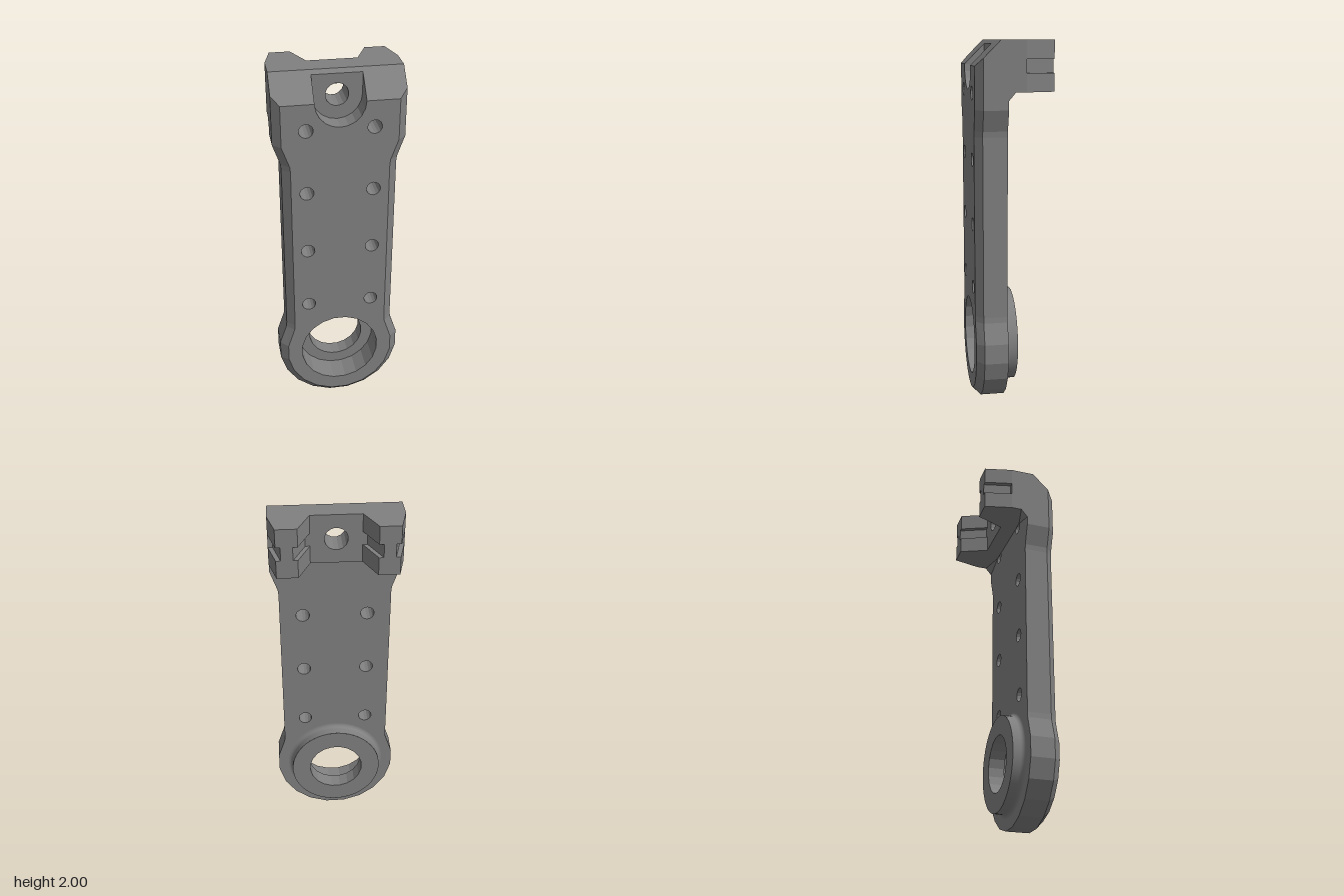
import * as THREE from 'three';

const FRONT = 0.205, BACK = 0.035, SLOPE_Y = 1.87, BOSS_Y = 0.345;

// Ring of points around a hole or boss
const circle = (x, y, r, n) => Array.from({ length: n }, (_, i) => {
  const a = ((i + 0.5) / n) * Math.PI * 2;
  return [x + r * Math.cos(a), y + r * Math.sin(a)];
});
const atZ = (ring, z) => ring.map(([x, y]) => [x, y, z]);

// Faceted wall between two matching rows of 3D points
function strip(a, b, closed = true) {
  const pos = [], n = a.length;
  for (let i = 0; i < (closed ? n : n - 1); i++) {
    const j = (i + 1) % n;
    pos.push(...a[i], ...a[j], ...b[j], ...a[i], ...b[j], ...b[i]);
  }
  const g = new THREE.BufferGeometry();
  g.setAttribute('position', new THREE.Float32BufferAttribute(pos, 3));
  g.computeVertexNormals();
  return g;
}

function makeShape(points, holes = []) {
  const v = (p) => p.map(([x, y]) => new THREE.Vector2(x, y));
  const s = new THREE.Shape(v(points));
  s.holes = holes.map((h) => new THREE.Path(v(h)));
  return s;
}

// Flat face whose z comes from a rule on y; flipped faces look backwards
function face(points, holes, zOf, flip = false) {
  let g = new THREE.ShapeGeometry(makeShape(points, holes)).toNonIndexed();
  const p = g.attributes.position;
  for (let i = 0; i < p.count; i++) p.setZ(i, zOf(p.getY(i)));
  if (flip) {
    for (let i = 0; i < p.count; i += 3) {
      const q = [p.getX(i), p.getY(i), p.getZ(i)];
      p.setXYZ(i, p.getX(i + 1), p.getY(i + 1), p.getZ(i + 1));
      p.setXYZ(i + 1, ...q);
    }
  }
  g.computeVertexNormals();
  return g;
}

export function createModel() {
  const group = new THREE.Group();
  const grey = new THREE.MeshStandardMaterial({ color: 0x808080, side: THREE.DoubleSide });
  grey.name = 'grey metal';
  const add = (name, geometry) => {
    const m = new THREE.Mesh(geometry, grey);
    m.name = name;
    group.add(m);
    return m;
  };
  const mirrored = (half) => [...half.map(([x, y, z]) => [-x, y, z]).reverse(), ...half];

  // Arm outline, right half from bottom to top; inset version for the chamfer
  const arc = (r) => [9, 27, 45, 63, 81, 99].map((d) => {
    const a = (d * Math.PI) / 180;
    return [r * Math.sin(a), BOSS_Y - r * Math.cos(a)];
  });
  const outer = [...arc(0.345), [0.303, 0.51], [0.3, 0.54], [0.3, 1.51], [0.303, 1.54], [0.342, 1.65], [0.342, 1.91]];
  const inner = [...arc(0.302), [0.26, 0.51], [0.257, 0.54], [0.257, 1.51], [0.26, 1.54], [0.3, 1.65], [0.3, SLOPE_Y]];

  // Holes
  const small = [];
  for (const y of [0.68, 1.03, 1.38, 1.73]) {
    for (const x of [-0.175, 0.175]) small.push(circle(x, y, 0.037, 14));
  }
  const bore = circle(0, BOSS_Y, 0.155, 20);
  const counterbore = circle(0, BOSS_Y, 0.22, 20);
  const pin = circle(0, SLOPE_Y, 0.06, 16);

  // Arched pocket in the head
  const arch = [[-0.13, 1.98]];
  for (let i = 0; i <= 10; i++) {
    const a = Math.PI * (1 + i / 10);
    arch.push([0.13 * Math.cos(a), SLOPE_Y + 0.13 * Math.sin(a)]);
  }
  arch.push([0.13, 1.98]);
  const floorZ = 0.095;
  const surfaceZ = (y) => FRONT - Math.max(0, y - SLOPE_Y);

  // Arm sides, chamfer, front and back
  add('armSides', strip(
    mirrored([...atZ(outer, BACK), [0.342, 2, BACK]]),
    mirrored([...atZ(outer, 0.165), [0.342, 2, 0.075]])));
  add('armChamfer', strip(mirrored(atZ(outer, 0.165)), mirrored(atZ(inner, FRONT)), false));
  add('armFront', face([...mirrored(inner), ...arch.slice(1, -1).reverse()],
    [counterbore, ...small], () => FRONT));
  add('armBack', face(mirrored(outer), [counterbore, pin, ...small], () => BACK, true));
  small.forEach((h) => add('mountingHole', strip(atZ(h, FRONT), atZ(h, BACK))));

  // Sloped head front with its pocket
  add('headSlope', face([
    [-0.3, SLOPE_Y], [-0.13, SLOPE_Y], [-0.13, 1.98], [0.13, 1.98], [0.13, SLOPE_Y],
    [0.3, SLOPE_Y], [0.342, 1.91], [0.342, 2], [-0.342, 2], [-0.342, 1.91]], [], surfaceZ));
  add('pocketWall', strip(arch.map(([x, y]) => [x, y, surfaceZ(y)]), atZ(arch, floorZ), false));
  add('pocketFloor', face(arch, [pin], () => floorZ));
  add('pinHole', strip(atZ(pin, floorZ), atZ(pin, BACK)));

  // Head block behind the arm
  const block = makeShape([[-0.342, 1.74], [0.342, 1.74], [0.342, 2], [-0.342, 2]], [pin]);
  add('headBlock', new THREE.ExtrudeGeometry(block, { depth: 0.09, bevelEnabled: false }))
    .position.z = -0.055;

  // Tapered jaws, slotted on both flanks
  for (const s of [-1, 1]) {
    for (const [y0, y1, inset] of [[1.74, 1.835, 0], [1.835, 1.905, 0.024], [1.905, 2, 0]]) {
      const jaw = makeShape([
        [s * (0.132 + inset), 0.055], [s * (0.342 - inset), 0.055],
        [s * (0.305 - inset), 0.205], [s * (0.197 + inset), 0.205]]);
      const g = new THREE.ExtrudeGeometry(jaw, { depth: y1 - y0, bevelEnabled: false });
      add('jaw', g.rotateX(-Math.PI / 2)).position.y = y0;
    }
    // Small corner gusset under the head
    const tip = [s * 0.342, 1.74, 0], low = [s * 0.342, 1.698, BACK], end = [s * 0.2, 1.74, BACK];
    const root = [s * 0.342, 1.74, BACK];
    add('gusset', strip([tip, low, end], [root, root, root]));
    add('gussetFace', strip([tip, end], [low, low], false));
  }

  // Ring boss: counterbore, ledge, bore, rear rim and filleted side
  add('counterboreWall', strip(atZ(counterbore, FRONT), atZ(counterbore, 0.06)));
  add('counterboreLedge', face(counterbore, [bore], () => 0.06));
  add('boreWall', strip(atZ(bore, 0.06), atZ(bore, -0.03)));
  add('bossRim', face(circle(0, BOSS_Y, 0.26, 48), [bore], () => -0.03, true));
  const profile = [[0.26, -0.03], [0.26, 0.012]];
  for (let i = 1; i <= 5; i++) {
    const a = (i / 5) * Math.PI / 2;
    profile.push([0.283 - 0.023 * Math.cos(a), 0.012 + 0.023 * Math.sin(a)]);
  }
  const side = new THREE.LatheGeometry(profile.map(([r, z]) => new THREE.Vector2(r, z)), 48);
  add('bossSide', side.rotateX(Math.PI / 2)).position.y = BOSS_Y;

  return group;
}
